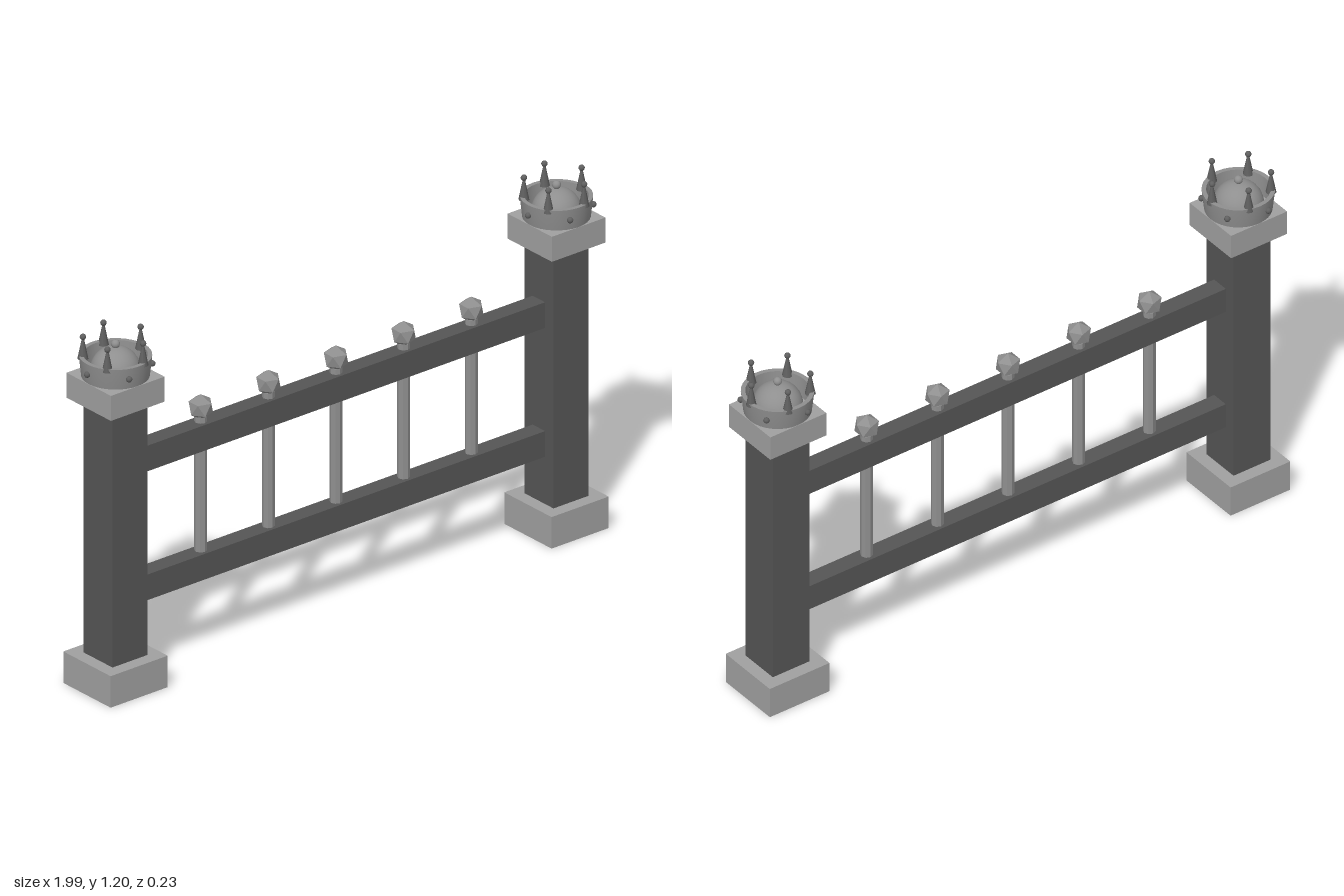
import * as THREE from 'three';

const mat = (name, color, extra = {}) => {
  const m = new THREE.MeshStandardMaterial({ color, ...extra });
  m.name = name;
  return m;
};

export function createModel() {
  const darkMetal = mat('dark metal', 0x555555);
  const stone = mat('light stone', 0xa0a0a0);
  const steel = mat('steel', 0x8f8f8f, { flatShading: true });
  const crownMetal = mat('crown metal', 0x8f8f8f);
  const spikeMetal = mat('spike metal', 0x606060);

  const model = new THREE.Group();
  model.name = 'fenceSection';

  const add = (parent, name, geometry, material, x = 0, y = 0, z = 0) => {
    const mesh = new THREE.Mesh(geometry, material);
    mesh.name = name;
    mesh.position.set(x, y, z);
    parent.add(mesh);
    return mesh;
  };
  // Box given by its bottom and top heights
  const box = (parent, name, w, y0, y1, d, material) =>
    add(parent, name, new THREE.BoxGeometry(w, y1 - y0, d), material, 0, (y0 + y1) / 2);

  // Crown: flared hollow band, dome, five spikes and five studs
  const bandProfile = [[0.1, 1.05], [0.105, 1.05], [0.113, 1.125], [0.113, 1.125],
    [0.099, 1.125], [0.099, 1.125], [0.094, 1.056]].map(([r, y]) => new THREE.Vector2(r, y));
  const bandGeo = new THREE.LatheGeometry(bandProfile, 32);
  const domeGeo = new THREE.SphereGeometry(0.079, 24, 10, 0, Math.PI * 2, 0, Math.PI / 2);
  const finialGeo = new THREE.SphereGeometry(0.014, 12, 8);
  const spikeGeo = new THREE.CylinderGeometry(0.003, 0.017, 0.07, 8);
  const beadGeo = new THREE.SphereGeometry(0.01, 10, 8);

  const makeCrown = () => {
    const crown = new THREE.Group();
    crown.name = 'crown';
    add(crown, 'crownBand', bandGeo, crownMetal);
    add(crown, 'crownDome', domeGeo, crownMetal, 0, 1.07);
    add(crown, 'domeFinial', finialGeo, crownMetal, 0, 1.16);
    for (let i = 0; i < 5; i++) {
      const a = (i * Math.PI * 2) / 5, b = a + Math.PI / 5;
      const x = 0.1 * Math.cos(a), z = 0.1 * Math.sin(a);
      add(crown, 'crownSpike', spikeGeo, spikeMetal, x, 1.148, z);
      add(crown, 'spikeBead', beadGeo, spikeMetal, x, 1.187, z);
      add(crown, 'crownStud', beadGeo, spikeMetal, 0.113 * Math.cos(b), 1.09, 0.113 * Math.sin(b));
    }
    return crown;
  };

  // Posts at both ends
  for (const side of [-1, 1]) {
    const post = new THREE.Group();
    post.name = side > 0 ? 'leftPost' : 'rightPost';
    post.position.x = side * 0.877;
    box(post, 'postBase', 0.227, 0, 0.107, 0.227, stone);
    box(post, 'postShaft', 0.14, 0.107, 0.97, 0.14, darkMetal);
    box(post, 'postCap', 0.213, 0.97, 1.055, 0.213, stone);
    post.add(makeCrown());
    model.add(post);
  }

  // Horizontal rails
  box(model, 'lowerRail', 1.614, 0.268, 0.355, 0.06, darkMetal);
  box(model, 'upperRail', 1.614, 0.706, 0.793, 0.06, darkMetal);

  // Balusters topped with faceted knobs, one vertex pointing up
  const balusterGeo = new THREE.CylinderGeometry(0.02, 0.02, 0.55, 8);
  const knobGeo = new THREE.IcosahedronGeometry(0.042, 0).rotateZ(-Math.atan(2 / (1 + Math.sqrt(5))));
  for (let i = -2; i <= 2; i++) {
    add(model, 'baluster', balusterGeo, steel, i * 0.269, 0.537);
    add(model, 'balusterKnob', knobGeo, steel, i * 0.269, 0.842);
  }
  return model;
}
